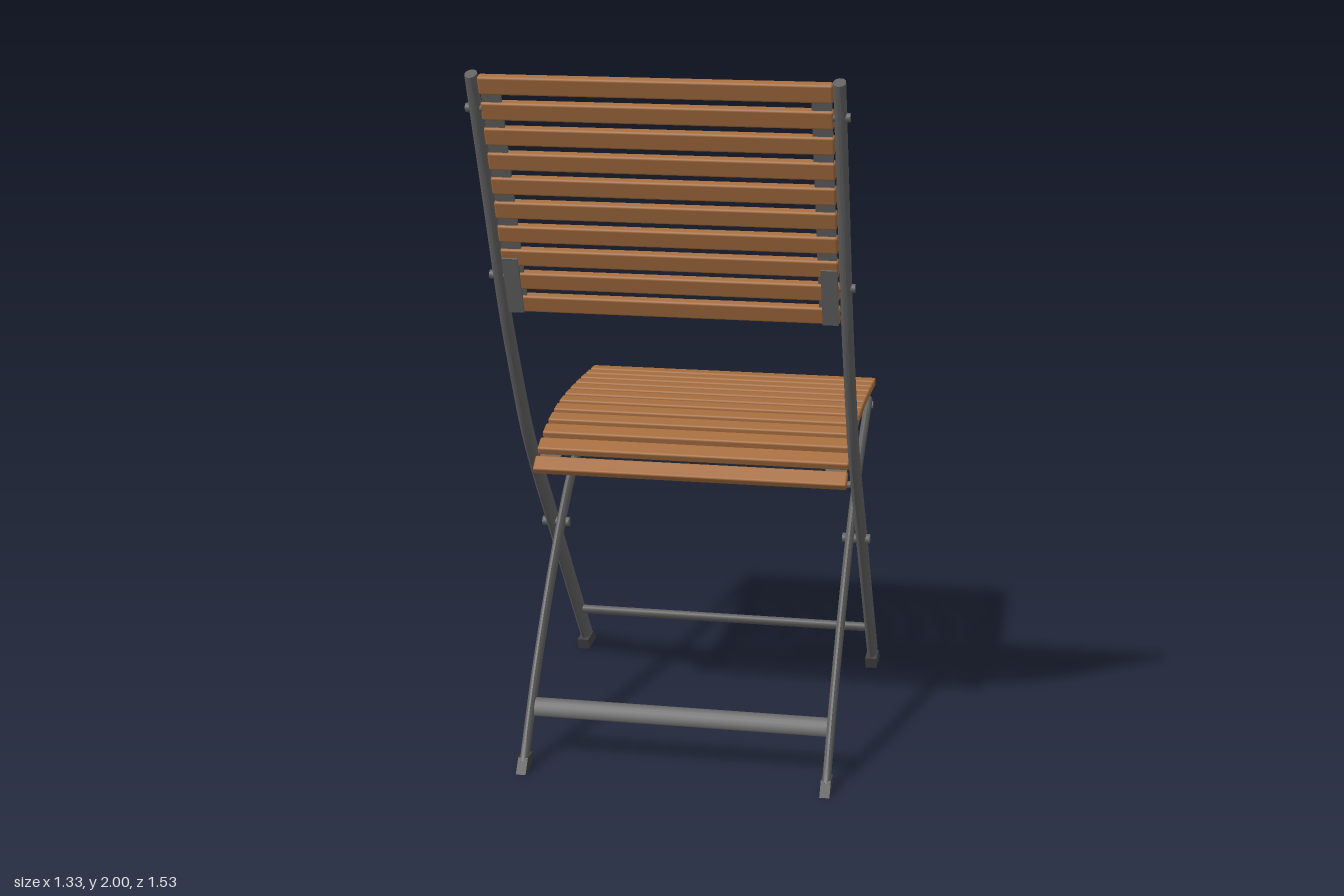
import * as THREE from 'three';
import { toCreasedNormals } from 'three/addons/utils/BufferGeometryUtils.js';
import { RoundedBoxGeometry } from 'three/addons/geometries/RoundedBoxGeometry.js';

const material = (name, color) => {
  const m = new THREE.MeshStandardMaterial({ color });
  m.name = name;
  return m;
};

// Side-plane curve from [z, y] pairs
const sideCurve = (pts) =>
  new THREE.CatmullRomCurve3(pts.map(([z, y]) => new THREE.Vector3(0, y, z)), false, 'centripetal');

// Sweep an oval (or, with 4 sides, rectangular) section along a side curve.
// a = half width across the chair, b(t) = half depth in the side plane
function sweep(curve, a, b, steps = 32, sides = 14) {
  const pos = [], idx = [];
  const turn = sides === 4 ? Math.PI / 4 : 0, k = sides === 4 ? Math.SQRT2 : 1;
  for (let i = 0; i <= steps; i++) {
    const t = i / steps, c = curve.getPointAt(t), d = curve.getTangentAt(t);
    for (let j = 0; j < sides; j++) {
      const f = turn + (j / sides) * Math.PI * 2;
      const x = Math.cos(f) * a * k, n = Math.sin(f) * b(t) * k;
      pos.push(x, c.y + n * d.z, c.z - n * d.y);
    }
  }
  for (let i = 0; i < steps; i++) {
    for (let j = 0; j < sides; j++) {
      const p = i * sides + j, q = i * sides + (j + 1) % sides;
      idx.push(p, q, p + sides, q, q + sides, p + sides);
    }
  }
  const last = steps * sides;
  for (let j = 1; j < sides - 1; j++) {
    idx.push(0, j + 1, j, last, last + j, last + j + 1);
  }
  const g = new THREE.BufferGeometry();
  g.setAttribute('position', new THREE.Float32BufferAttribute(pos, 3));
  g.setIndex(idx);
  return toCreasedNormals(g, 0.7);
}

export function createModel() {
  const wood = material('wood', 0xa56d3e);
  const metal = material('greyMetal', 0x636363);
  const rubber = material('darkRubber', 0x444444);

  const root = new THREE.Group();
  root.name = 'foldingChair';
  const chair = new THREE.Group();
  chair.name = 'chair';
  chair.rotation.y = 0.347;
  root.add(chair);

  const add = (name, geo, mat, x = 0, y = 0, z = 0, rx = 0) => {
    const m = new THREE.Mesh(geo, mat);
    m.name = name;
    m.position.set(x, y, z);
    m.rotation.x = rx;
    chair.add(m);
  };
  const both = (name, geo, mat, x, y = 0, z = 0, rx = 0) => {
    add(name + 'Left', geo, mat, x, y, z, rx);
    add(name + 'Right', geo, mat, -x, y, z, rx);
  };
  const lerp = THREE.MathUtils.lerp;

  // Long legs that rise into the back posts
  const post = sideCurve([[-0.585, 0.022], [-0.35, 0.31], [-0.13, 0.585], [0.08, 0.845], [0.15, 0.945],
    [0.215, 1.06], [0.335, 1.29], [0.395, 1.425], [0.51, 1.71], [0.625, 1.99]]);
  both('backPost', sweep(post, 0.016, (t) => lerp(0.034, 0.021, THREE.MathUtils.smoothstep(t, 0.3, 0.85)), 40), metal, 0.46);

  // Short crossing legs
  const leg = sideCurve([[0.378, 0.02], [0.3, 0.125], [0.219, 0.228], [0.022, 0.44], [-0.165, 0.607],
    [-0.25, 0.668], [-0.485, 0.795], [-0.6, 0.85]]);
  both('crossLeg', sweep(leg, 0.012, (t) => 0.02 + 0.009 * Math.sin(Math.PI * t)), metal, 0.428);

  // Rubber feet
  const foot = (pts, w) => {
    const g = new THREE.ExtrudeGeometry(new THREE.Shape(pts.map(([z, y]) => new THREE.Vector2(-z, y))),
      { depth: w, bevelEnabled: false });
    return g.translate(0, 0, -w / 2).rotateY(Math.PI / 2);
  };
  both('longLegFoot', foot([[-0.53, 0], [-0.515, 0.036], [-0.59, 0.036], [-0.636, 0]], 0.035), rubber, 0.46);
  both('crossLegFoot', foot([[0.418, 0], [0.387, 0.038], [0.335, 0.034], [0.345, 0]], 0.028), rubber, 0.428);

  // Crossbars near the floor: flattened tubes
  const bar = (length, thick, deep) =>
    new THREE.CylinderGeometry(0.5, 0.5, length, 16).rotateZ(Math.PI / 2).scale(1, thick, deep);
  add('longLegCrossbar', bar(0.9, 0.026, 0.042), metal, 0, 0.158, -0.472, -0.6);
  add('crossLegCrossbar', bar(0.85, 0.024, 0.055), metal, 0, 0.149, 0.28, 0.95);

  // Bar below the rear of the seat
  add('rearSeatBar', new THREE.CylinderGeometry(0.01, 0.01, 0.9, 12).rotateZ(Math.PI / 2), metal, 0, 0.797, 0.085);

  // Curved seat: slats on two side rails
  const seat = sideCurve([[-0.63, 0.896], [-0.45, 0.908], [-0.3, 0.913], [-0.17, 0.911], [-0.05, 0.895],
    [0.03, 0.873], [0.085, 0.848], [0.125, 0.82]]);
  const slat = new RoundedBoxGeometry(0.888, 0.025, 0.05, 2, 0.006);
  const slatRow = (name, curve, count) => {
    for (let i = 0; i < count; i++) {
      const t = i / (count - 1), p = curve.getPointAt(t), d = curve.getTangentAt(t);
      add(name + (i + 1), slat, wood, 0, p.y, p.z, Math.atan2(-d.y, d.z));
    }
  };
  slatRow('seatSlat', seat, 12);
  const below = (offset) => sideCurve([...Array(12).keys()].map((i) => {
    const p = seat.getPointAt(i / 11), d = seat.getTangentAt(i / 11);
    return [p.z + d.y * offset, p.y - d.z * offset];
  }));
  both('seatRailFlange', sweep(below(0.016), 0.03, () => 0.005, 24, 4), metal, 0.408);
  both('seatRailWeb', sweep(below(0.028), 0.005, () => 0.012, 24, 4), metal, 0.408);

  // Brackets joining the cross legs to the seat front
  both('seatBracket', new RoundedBoxGeometry(0.016, 0.075, 0.075, 2, 0.006), metal, 0.41, 0.847, -0.597, 0.25);

  // Backrest: slats between the posts, held by strips
  const back = sideCurve([[0.373, 1.352], [0.494, 1.658], [0.614, 1.963]]);
  slatRow('backSlat', back, 10);
  const tilt = Math.atan2(-0.611, 0.241);
  both('backStrip', new THREE.BoxGeometry(0.05, 0.01, 0.68), metal, 0.415, 1.658, 0.494, tilt);
  both('backPlate', new THREE.BoxGeometry(0.042, 0.01, 0.17), metal, 0.42, 1.405, 0.408, tilt);

  // Bolts: two per post for the backrest, the folding pivot and the bracket pin
  const bolt = (r, l) => new THREE.CylinderGeometry(r, r, l, 12).rotateZ(Math.PI / 2);
  both('upperBackBolt', bolt(0.012, 0.045), metal, 0.462, 1.9, 0.59);
  both('lowerBackBolt', bolt(0.012, 0.045), metal, 0.462, 1.43, 0.4);
  both('pivotBolt', bolt(0.014, 0.08), metal, 0.446, 0.565, -0.132);
  both('bracketPin', bolt(0.012, 0.045), metal, 0.42, 0.835, -0.6);

  return root;
}
